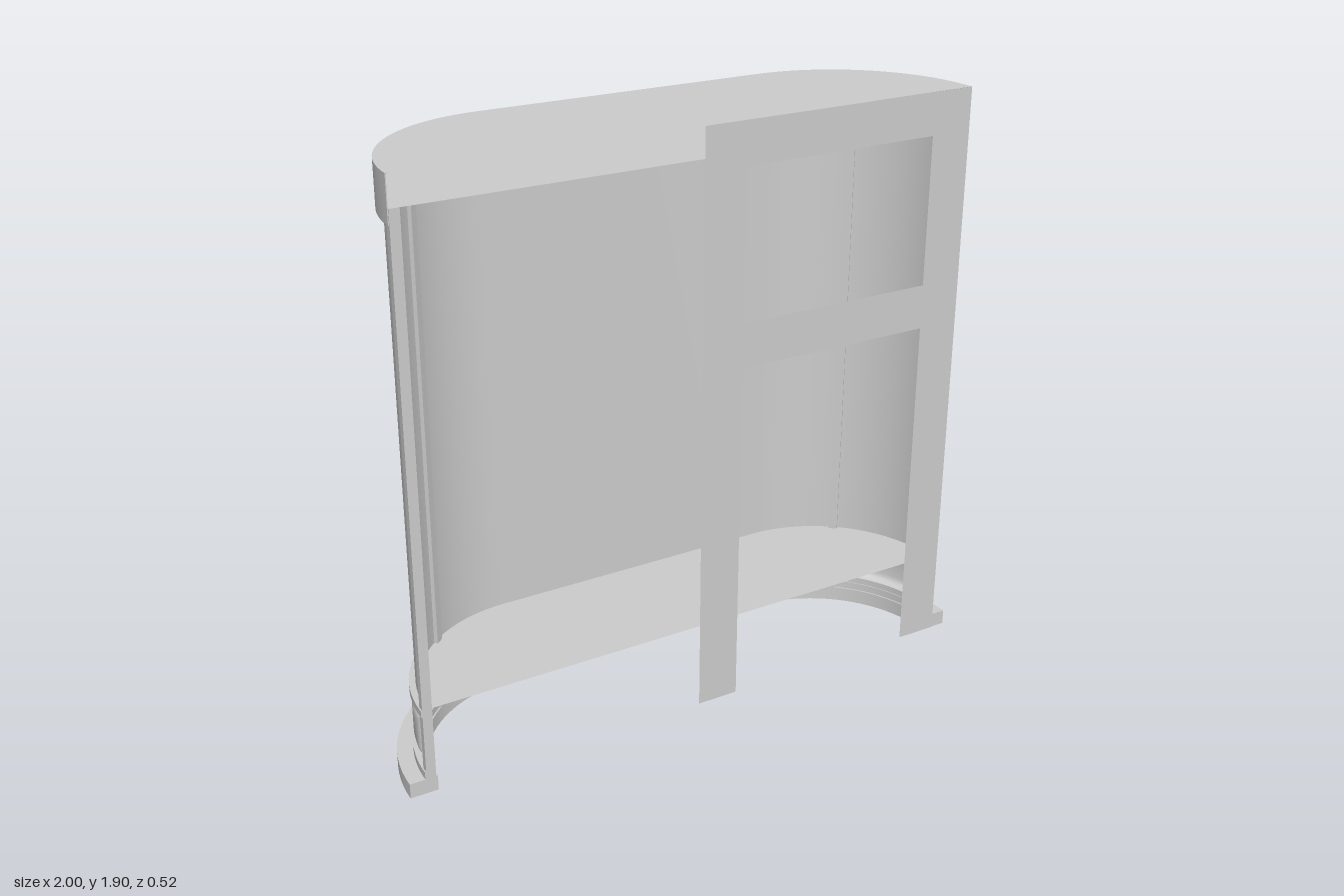
import * as THREE from 'three';
import { toCreasedNormals } from 'three/addons/utils/BufferGeometryUtils.js';

const FRONT = 0.26;              // z of the open front plane
const FLAT = 0.48;               // half length of the straight back
const R0 = 0.45;                 // radius at which path length is measured
const END = FLAT + R0 * Math.PI / 2;

// Point on the D-shaped path: s = length from the centre of the back, r = radius
function pathPoint(s, r) {
  const side = Math.sign(s) || 1;
  const a = Math.max(0, Math.abs(s) - FLAT) / R0;
  return new THREE.Vector2(
    side * (Math.min(Math.abs(s), FLAT) + r * Math.sin(a)),
    FRONT - r * Math.cos(a));
}

// Lengths from s0 to s1, finely divided on the curves only
function steps(s0, s1) {
  const list = [s0, s1];
  const n = 24;
  for (let i = 0; i < n; i++) {
    const s = FLAT + (END - FLAT) * i / n;
    for (const v of [s, -s]) if (v > s0 + 0.002 && v < s1 - 0.002) list.push(v);
  }
  return list.sort((a, b) => a - b);
}

export function createModel() {
  const model = new THREE.Group();
  const grey = new THREE.MeshStandardMaterial({ color: 0xcccccc, side: THREE.DoubleSide });
  grey.name = 'light grey';

  function add(name, geometry) {
    const mesh = new THREE.Mesh(geometry, grey);
    mesh.name = name;
    model.add(mesh);
    return mesh;
  }

  // Solid band following the path between two radii and two heights
  function band(name, s0, s1, y0, y1, r0, r1) {
    const list = steps(s0, s1);
    const pts = [
      ...list.map(s => pathPoint(s, r1)),
      ...list.slice().reverse().map(s => pathPoint(s, r0)),
    ].map(p => new THREE.Vector2(p.x, -p.y));
    const g = new THREE.ExtrudeGeometry(new THREE.Shape(pts), { depth: y1 - y0, bevelEnabled: false });
    g.rotateX(-Math.PI / 2).translate(0, y0, 0);
    return add(name, toCreasedNormals(g, 0.5));
  }

  // Flat D-shaped sheet
  function sheet(name, y, r) {
    const pts = steps(-END, END).map(s => pathPoint(s, r)).map(p => new THREE.Vector2(p.x, -p.y));
    const g = new THREE.ShapeGeometry(new THREE.Shape(pts));
    g.rotateX(-Math.PI / 2).translate(0, y, 0);
    return add(name, g);
  }

  // Thin panel with a raised, rounded field
  function raisedPanel(s0, s1, y0, y1) {
    const insets = [0, 0.022, 0.026, 0.032, 0.04, 0.05];
    const heights = [0, 0, 0.014, 0.021, 0.025, 0.027];
    const breaks = (a, b, mid) => [
      ...insets.map(d => a + d),
      ...Array.from({ length: mid }, (_, i) => a + 0.05 + (b - a - 0.1) * (i + 1) / (mid + 1)),
      ...insets.slice().reverse().map(d => b - d),
    ];
    const ss = breaks(s0, s1, 10), ys = breaks(y0, y1, 1);
    const rise = d => {
      for (let i = 1; i < insets.length; i++) {
        if (d <= insets[i] + 1e-6) {
          const t = (d - insets[i - 1]) / (insets[i] - insets[i - 1]);
          return heights[i - 1] + t * (heights[i] - heights[i - 1]);
        }
      }
      return heights[heights.length - 1];
    };
    const g = new THREE.PlaneGeometry(1, 1, ss.length - 1, ys.length - 1);
    const pos = g.attributes.position;
    for (let i = 0; i < pos.count; i++) {
      const s = ss[ss.length - 1 - i % ss.length];
      const y = ys[ys.length - 1 - Math.floor(i / ss.length)];
      const d = Math.min(s - s0, s1 - s, y - y0, y1 - y);
      const p = pathPoint(s, 0.438 + rise(d));
      pos.setXYZ(i, p.x, y, p.y);
    }
    add('raisedPanel', toCreasedNormals(g, 0.6));
  }

  // Base and lower rails
  band('plinth', -END, END, 0, 0.05, 0.43, 0.52);
  band('bottomRail', -END, END, 0.05, 0.075, 0.435, 0.47);
  band('sillRail', -END, END, 0.267, 0.29, 0.435, 0.47);
  sheet('floor', 0.29, 0.46);

  // Panels and the stiles between them, mirrored
  const openings = [[0.02, 0.365], [0.405, 0.758], [0.82, 1.165]];
  for (const [a, b] of openings) {
    raisedPanel(a, b, 0.075, 0.267);
    raisedPanel(-b, -a, 0.075, 0.267);
  }
  band('centreStile', -0.02, 0.02, 0.075, 0.267, 0.436, 0.462);
  for (const [a, b] of [[0.365, 0.405], [0.758, 0.82]]) {
    band('stile', a, b, 0.075, 0.267, 0.436, 0.462);
    band('stile', -b, -a, 0.075, 0.267, 0.436, 0.462);
  }

  // Curved wall with mullions and end posts
  band('wall', -END, END, 0.29, 1.81, 0.437, 0.45);
  for (const [name, a, b, r0] of [['mullion', 0.773, 0.803, 0.425], ['endPost', 1.165, END, 0.435]]) {
    band(name, a, b, 0.05, 1.81, r0, 0.466);
    band(name, -b, -a, 0.05, 1.81, r0, 0.466);
  }

  // Header band, open at the front, with ceiling and roof
  band('header', -END, END, 1.765, 1.905, 0.467, 0.47);
  sheet('ceiling', 1.81, 0.468);
  sheet('roof', 1.905, 0.47);

  // Thin front frame over one half: window above, doorway below
  const frame = new THREE.Shape([
    [0, 0], [0.14, 0], [0.14, 1.145], [0.81, 1.145], [0.81, 0], [0.95, 0], [0.95, 1.905], [0, 1.905],
  ].map(p => new THREE.Vector2(...p)));
  frame.holes.push(new THREE.Path([
    [0.14, 1.29], [0.14, 1.77], [0.81, 1.77], [0.81, 1.29],
  ].map(p => new THREE.Vector2(...p))));
  add('frontFrame', new THREE.ShapeGeometry(frame)).position.z = FRONT + 0.002;

  return model;
}
